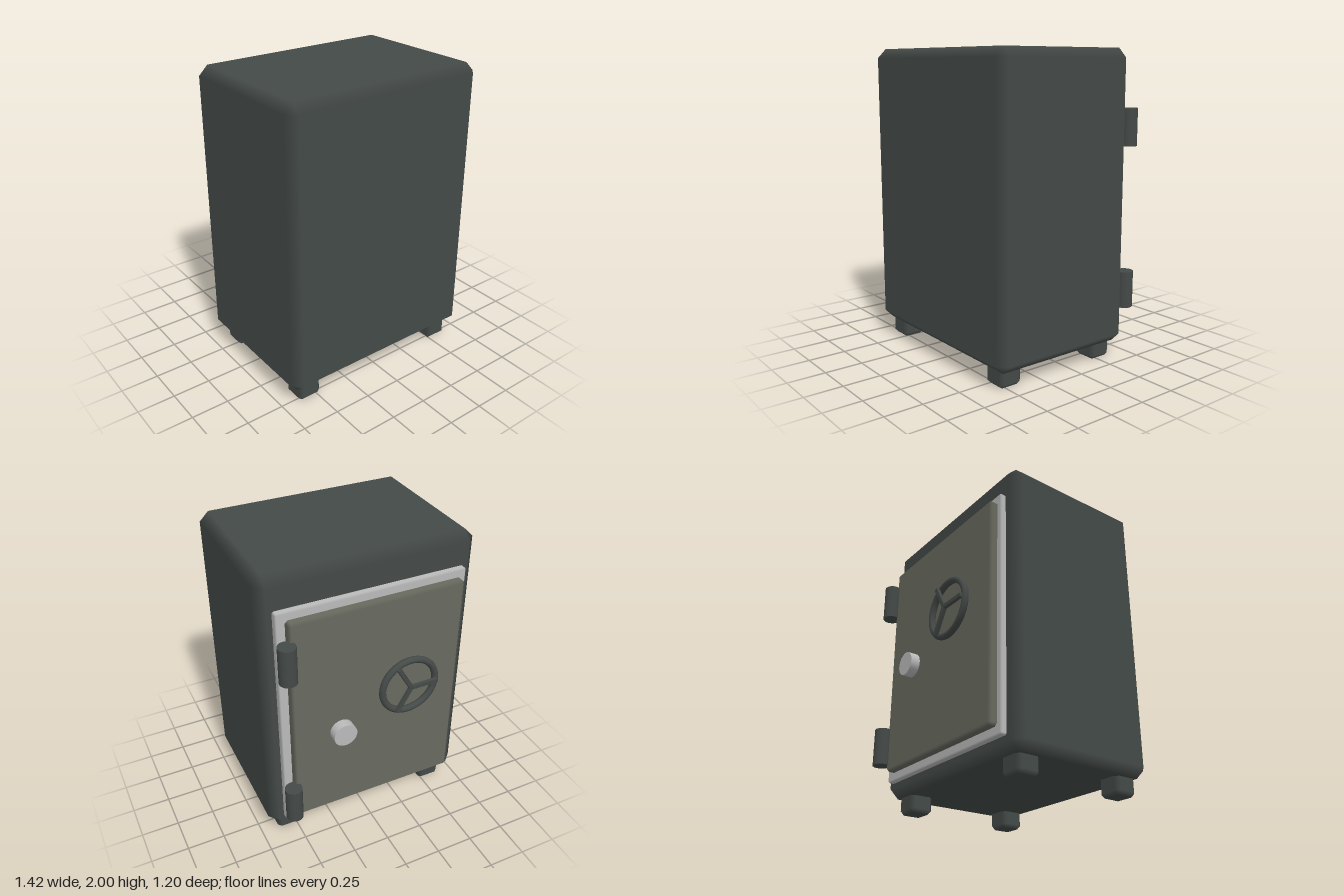
import * as THREE from 'three';
import { ConvexGeometry } from 'three/addons/geometries/ConvexGeometry.js';

const dark = new THREE.MeshStandardMaterial({ color: 0x444a48 });
const olive = new THREE.MeshStandardMaterial({ color: 0x686a5f });
const light = new THREE.MeshStandardMaterial({ color: 0xbbbbbb });

// Box with single-step bevels; normals follow the main faces so bevels shade softly
function bevelBox(w, h, d, c) {
  const half = [w / 2, h / 2, d / 2];
  const points = [];
  for (const sx of [-1, 1]) for (const sy of [-1, 1]) for (const sz of [-1, 1]) {
    for (let axis = 0; axis < 3; axis++) {
      const p = [sx, sy, sz].map((s, i) => s * (half[i] - (i === axis ? 0 : c)));
      points.push(new THREE.Vector3(...p));
    }
  }
  const geometry = new ConvexGeometry(points);
  const pos = geometry.attributes.position;
  for (let i = 0; i < pos.count; i++) {
    const p = [pos.getX(i), pos.getY(i), pos.getZ(i)];
    const n = p.map((v, k) => (Math.abs(v) > half[k] - c / 2 ? Math.sign(v) : 0));
    geometry.attributes.normal.setXYZ(i, ...n);
  }
  return geometry;
}

function add(parent, name, geometry, material, x, y, z) {
  const mesh = new THREE.Mesh(geometry, material);
  mesh.name = name;
  mesh.position.set(x, y, z);
  parent.add(mesh);
  return mesh;
}

export function createModel() {
  const safe = new THREE.Group();
  safe.name = 'safe';

  // Cabinet and its four feet
  add(safe, 'body', bevelBox(1.42, 1.89, 1.025, 0.06), dark, 0, 1.055, 0.0875);
  const foot = bevelBox(0.162, 0.16, 0.162, 0.025);
  for (const x of [-0.556, 0.556]) {
    for (const z of [0.464, -0.279]) add(safe, 'foot', foot, dark, x, 0.08, z);
  }

  // Door surround and door on the -z side
  add(safe, 'doorFrame', bevelBox(1.24, 1.595, 0.08, 0.01), light, 0, 0.995, -0.425);
  add(safe, 'door', bevelBox(1.147, 1.49, 0.1, 0.017), olive, -0.012, 0.995, -0.468);

  // Hinge barrels
  for (const y of [0.415, 1.5]) {
    add(safe, 'hinge', new THREE.CylinderGeometry(0.056, 0.056, 0.245, 32), dark, 0.585, y, -0.54);
  }

  // Dial knob
  const knob = add(safe, 'dialKnob', new THREE.CylinderGeometry(0.078, 0.078, 0.063, 32), light, 0.244, 0.892, -0.563);
  knob.rotation.x = Math.PI / 2;

  // Hand wheel: rim with three spokes meeting at the centre
  const wheel = new THREE.Group();
  wheel.name = 'handWheel';
  wheel.position.set(-0.206, 1.115, -0.563);
  add(wheel, 'wheelRim', new THREE.TorusGeometry(0.186, 0.022, 16, 48), dark, 0, 0, 0);
  const spoke = bevelBox(0.19, 0.03, 0.027, 0.005).translate(0.095, 0, 0);
  for (let i = 0; i < 3; i++) {
    add(wheel, 'wheelSpoke', spoke, dark, 0, 0, -0.028).rotation.z = Math.PI + (i * 2 * Math.PI) / 3;
  }
  safe.add(wheel);

  return safe;
}
